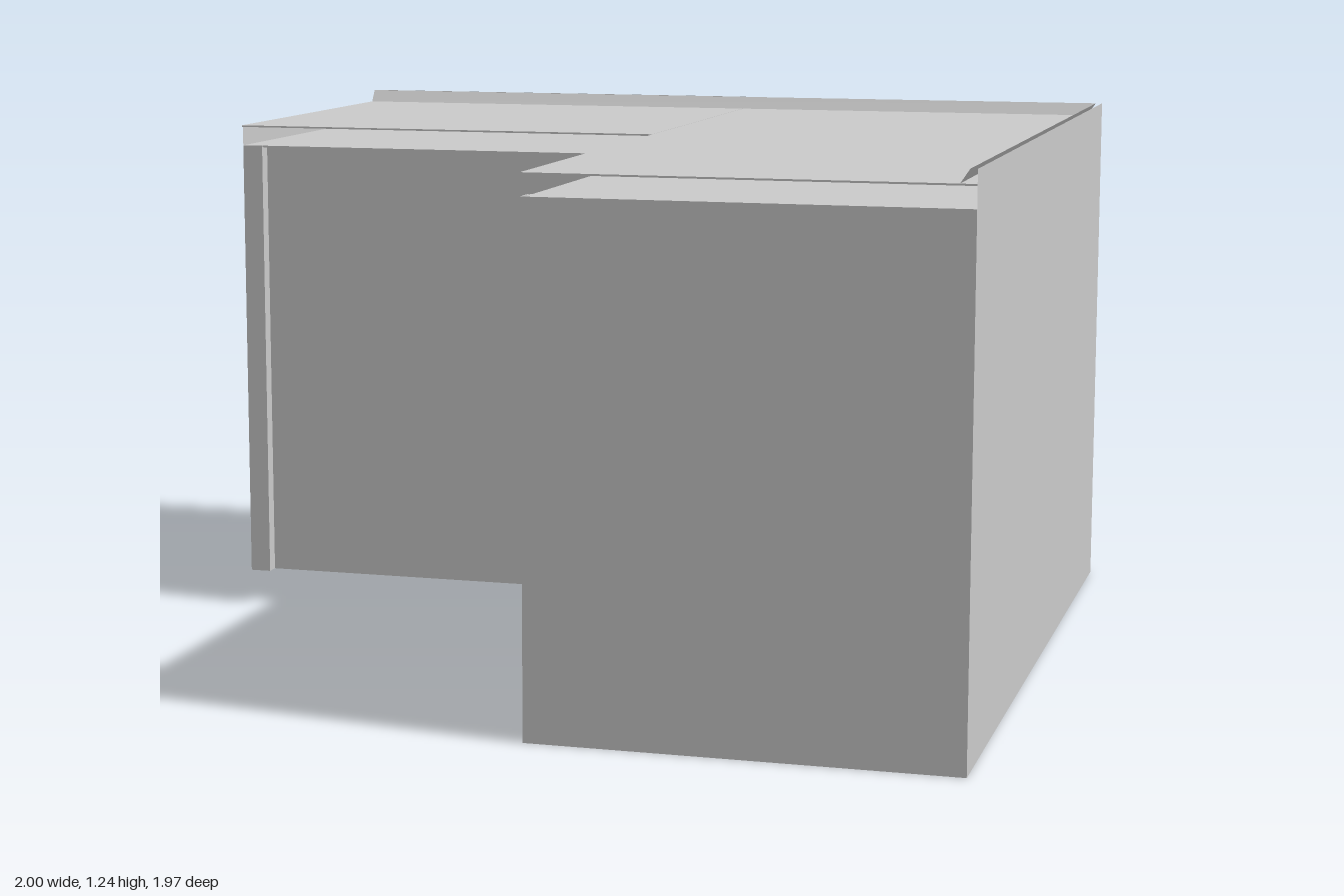
import * as THREE from 'three';

const material = new THREE.MeshStandardMaterial({ color: 0xcccccc, side: THREE.DoubleSide });
const T = 0.004; // sheet thickness
const BASE = 0.085, FLOOR = 0.14, BOX = 1.16, TOP = 1.21, LIP = 1.24; // heights
const END = 0.987, EDGE = 0.053, FRONT = 0.085; // outer z, inner corner of the L, recessed fronts

// Box given by its two extreme corners
function panel(parent, name, x0, x1, y0, y1, z0, z1) {
  const mesh = new THREE.Mesh(new THREE.BoxGeometry(x1 - x0, y1 - y0, z1 - z0), material);
  mesh.position.set((x0 + x1) / 2, (y0 + y1) / 2, (z0 + z1) / 2);
  mesh.name = name;
  parent.add(mesh);
}

// Flat four-cornered sheet
function sheet(parent, name, a, b, c, d) {
  const g = new THREE.BufferGeometry();
  g.setAttribute('position', new THREE.Float32BufferAttribute([...a, ...b, ...c, ...d], 3));
  g.setIndex([0, 1, 2, 0, 2, 3]);
  g.computeVertexNormals();
  const mesh = new THREE.Mesh(g, material);
  mesh.name = name;
  parent.add(mesh);
}

function group(parent, name) {
  const g = new THREE.Group();
  g.name = name;
  parent.add(g);
  return g;
}

export function createModel() {
  const model = new THREE.Group();
  model.name = 'cornerCounter';

  // L-shaped worktop and the cabinet lid below it, with an open gap between
  for (const [name, y, inset] of [['worktop', TOP, 0], ['cabinetLid', BOX, 0.01]]) {
    const g = group(model, name);
    panel(g, name + 'Left', -1, EDGE - 0.002, y - T, y, -END, -0.047 - inset);
    panel(g, name + 'Right', EDGE + inset, 1, y - T, y, -END, END);
  }

  // Slanted upstand along the back and right edges, mitred at the corner
  const up = group(model, 'upstand');
  sheet(up, 'backUpstand', [-1, TOP, -0.96], [0.965, TOP, -0.96], [0.985, LIP, -0.98], [-1, LIP, -0.98]);
  sheet(up, 'rightUpstand', [0.965, TOP, END], [0.965, TOP, -0.96], [0.985, LIP, -0.98], [0.985, LIP, END]);

  // Thin outer bands closing the gap and backing the upstand
  const bands = group(model, 'edgeBands');
  for (const [name, y0, y1] of [['gapBand', BOX, TOP], ['upstandBand', TOP, LIP]]) {
    sheet(bands, name + 'Right', [1, y0, END], [1, y0, -END], [1, y1, -END], [1, y1, END]);
    sheet(bands, name + 'Back', [EDGE, y0, -END], [-1, y0, -END], [-1, y1, -END], [EDGE, y1, -END]);
  }
  sheet(bands, 'gapBandLeft', [-1, BOX, -END], [-1, BOX, -EDGE], [-1, TOP, -EDGE], [-1, TOP, -END]);

  // Left wing, raised off the ground
  const left = group(model, 'leftCabinet');
  panel(left, 'backPanel', -0.95, EDGE, BASE, BOX, -END + 0.002, -END + 0.002 + T);
  panel(left, 'backStile', -1, -0.95, BASE, BOX, -END, -END + T);
  panel(left, 'endPanel', -1, -1 + T, BASE, BOX, -END, -EDGE);
  panel(left, 'frontPanel', -1, EDGE, BASE, BOX, -FRONT - T, -FRONT);
  panel(left, 'floor', -1, EDGE, FLOOR, FLOOR + T, -END, -FRONT);
  panel(left, 'endStile', -1, -0.95, BASE, BOX, -EDGE - T, -EDGE);
  panel(left, 'endStileReturn', -0.95 - T, -0.95, BASE, BOX, -FRONT, -EDGE);

  // Right wing, standing on the ground
  const right = group(model, 'rightCabinet');
  panel(right, 'sidePanel', 1 - T, 1, 0, BOX, -END, END);
  panel(right, 'endPanel', EDGE, 1, 0, BOX, END - T, END);
  panel(right, 'frontPanel', FRONT, FRONT + T, 0, BOX, 0.065, END);
  panel(right, 'backPanel', EDGE, 1, 0, BOX, -0.93, -0.93 + T);
  panel(right, 'backStile', 0.97, 1, 0, BOX, -END, -END + T);
  panel(right, 'backStileReturn', 0.97, 0.97 + T, 0, BOX, -END, -0.93);
  panel(right, 'floor', EDGE, 1, FLOOR, FLOOR + T, -0.93, END);
  panel(right, 'backFloorFlange', EDGE, 1, 0, T, -END, -0.93);
  panel(right, 'sideFloorFlange', 0.965, 1, 0, T, -END, END);
  panel(right, 'endFloorFlange', EDGE, 1, 0, T, 0.95, END);
  panel(right, 'frontFloorFlange', EDGE, FRONT, 0, T, 0.065, END);
  panel(right, 'endStile', EDGE, EDGE + T, 0, BOX, 0.935, END);
  panel(right, 'endStileReturn', EDGE, FRONT, 0, BOX, 0.935, 0.935 + T);

  // Folded pillar strips in the inner corner, one set for each wing
  const pillar = group(model, 'cornerPillar');
  panel(pillar, 'leftStrip', -0.065, EDGE, BASE, BOX, -EDGE - T, -EDGE);
  panel(pillar, 'rightStrip', EDGE, EDGE + T, BASE, BOX, -EDGE, 0.065);
  panel(pillar, 'rightBackStrip', FRONT, FRONT + T, BASE, BOX, -FRONT, 0.065);
  for (const d of [0.035, 0.065, 0.08, 0.095]) {
    panel(pillar, 'leftFold', -d - T, -d, BASE, BOX, -FRONT, -EDGE);
    panel(pillar, 'rightFold', EDGE, FRONT, BASE, BOX, d, d + T);
  }
  return model;
}
